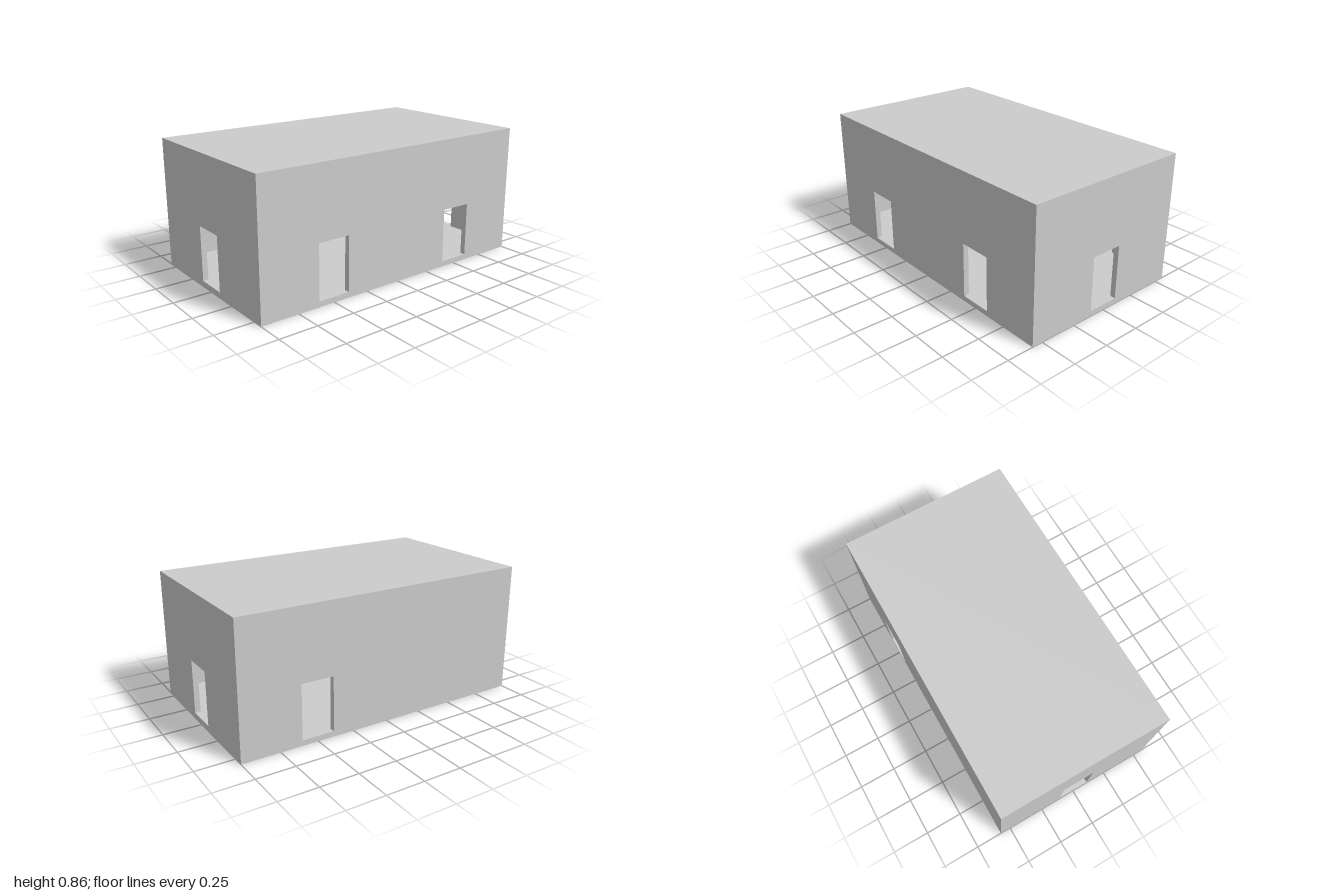
import * as THREE from 'three';
import { mergeGeometries } from 'three/addons/utils/BufferGeometryUtils.js';

const U = 2 / 7; // module: the house is 7 x 3 x 4 modules
const W = 7 * U, H = 3 * U, D = 4 * U;
const T = U / 8; // wall, floor and roof thickness
const DOOR_W = 0.75 * U, DOOR_H = 1.25 * U;
const DOOR_X = W / 4;

const material = new THREE.MeshStandardMaterial({ color: 0xcccccc, flatShading: true });

function rect(path, x0, y0, x1, y1) {
  path.moveTo(x0, y0);
  path.lineTo(x1, y0);
  path.lineTo(x1, y1);
  path.lineTo(x0, y1);
  path.closePath();
  return path;
}

// Flat wall face with door openings
function face(width, y0, y1, doors) {
  const shape = rect(new THREE.Shape(), -width / 2, y0, width / 2, y1);
  for (const x of doors) {
    // the inner face starts at sill level, so keep its opening a hair above the edge
    const sill = Math.max(T, y0 + 1e-4);
    shape.holes.push(rect(new THREE.Path(), x - DOOR_W / 2, sill, x + DOOR_W / 2, T + DOOR_H));
  }
  return new THREE.ShapeGeometry(shape);
}

// Jambs, sill and lintel lining one opening
function lining(x) {
  const y = T + DOOR_H / 2, z = -T / 2;
  return [
    new THREE.PlaneGeometry(T, DOOR_H).rotateY(Math.PI / 2).translate(x - DOOR_W / 2, y, z),
    new THREE.PlaneGeometry(T, DOOR_H).rotateY(-Math.PI / 2).translate(x + DOOR_W / 2, y, z),
    new THREE.PlaneGeometry(DOOR_W, T).rotateX(-Math.PI / 2).translate(x, T, z),
    new THREE.PlaneGeometry(DOOR_W, T).rotateX(Math.PI / 2).translate(x, T + DOOR_H, z),
  ];
}

// Wall with outer face at local z = 0 and inner face at z = -T
function wall(name, width, doors, angle, distance) {
  const inner = face(width - 2 * T, T, H - T, doors.map((x) => -x));
  const geometry = mergeGeometries([
    face(width, 0, H, doors),
    inner.rotateY(Math.PI).translate(0, 0, -T),
    ...doors.flatMap(lining),
  ]);
  geometry.translate(0, 0, distance).rotateY(angle);
  const mesh = new THREE.Mesh(geometry, material);
  mesh.name = name;
  return mesh;
}

// Floor or roof: one face up, one face down, the larger one outside
function slab(name, yUp, yDown, insetUp, insetDown) {
  const plane = (inset, turn, y) =>
    new THREE.PlaneGeometry(W - 2 * inset, D - 2 * inset).rotateX(turn).translate(0, y, 0);
  const mesh = new THREE.Mesh(
    mergeGeometries([plane(insetUp, -Math.PI / 2, yUp), plane(insetDown, Math.PI / 2, yDown)]),
    material,
  );
  mesh.name = name;
  return mesh;
}

export function createModel() {
  const house = new THREE.Group();
  house.name = 'house';
  house.add(
    wall('frontWall', W, [-DOOR_X, DOOR_X], 0, D / 2),
    wall('backWall', W, [-DOOR_X], Math.PI, D / 2),
    wall('leftWall', D, [0], Math.PI / 2, W / 2),
    wall('rightWall', D, [0], -Math.PI / 2, W / 2),
    slab('floor', T, 0, T, 0),
    slab('roof', H, H - T, 0, T),
  );
  return house;
}
